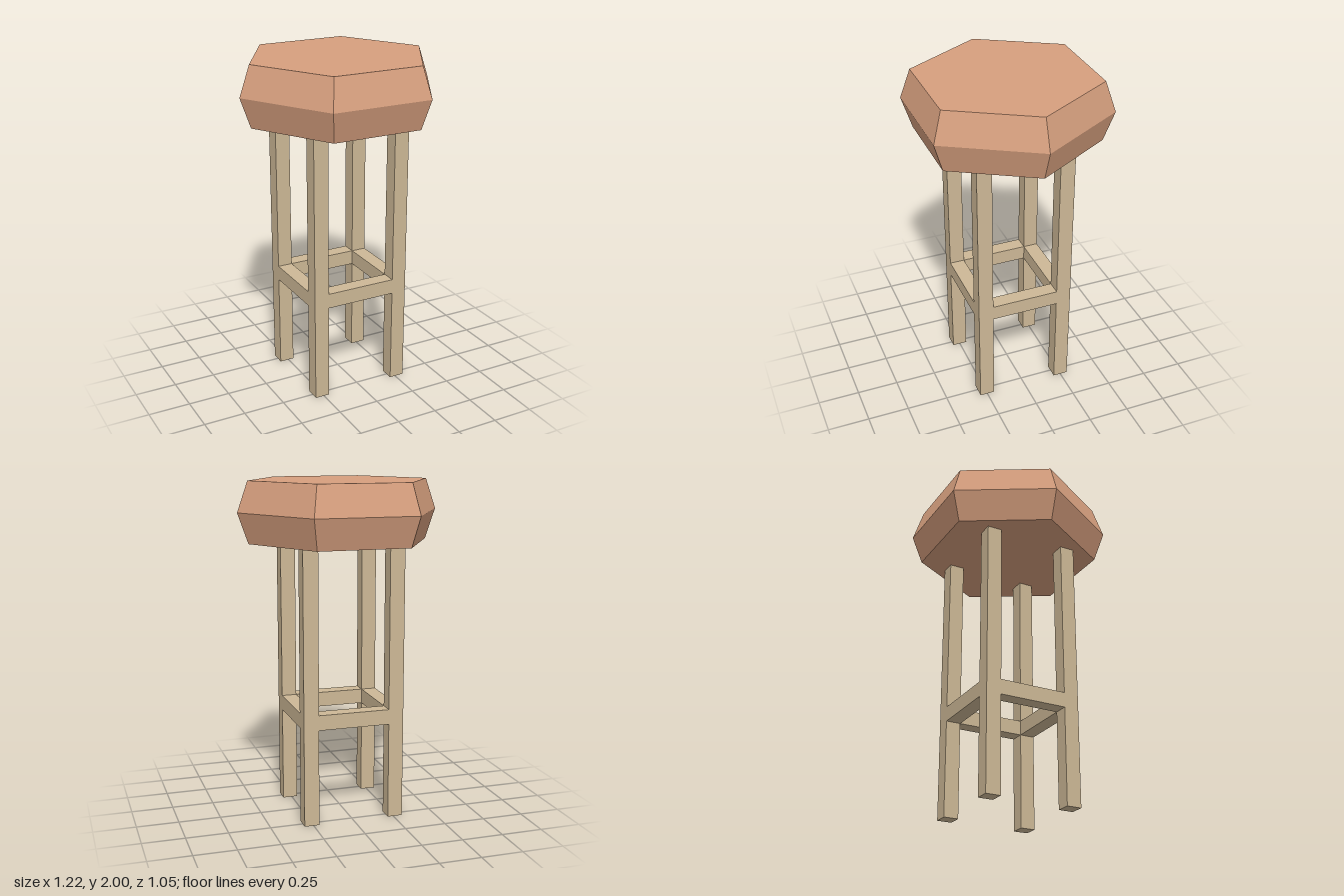
import * as THREE from 'three';

export function createModel() {
  const model = new THREE.Group();
  model.name = 'stool';

  const cushionMat = new THREE.MeshStandardMaterial({ color: 0xd69f7e, flatShading: true });
  const woodMat = new THREE.MeshStandardMaterial({ color: 0xcdb896, flatShading: true });

  const seatBottom = 1.64;
  const thick = 0.09;      // square section of legs and rails
  const legX = 0.26, legZ = 0.25;
  const railY = 0.625;

  const addBox = (name, w, h, d, x, y, z) => {
    const mesh = new THREE.Mesh(new THREE.BoxGeometry(w, h, d), woodMat);
    mesh.name = name;
    mesh.position.set(x, y, z);
    model.add(mesh);
  };

  // Hexagonal cushion, widest at mid height, corners on the x axis
  const profile = [[0, seatBottom], [0.545, seatBottom], [0.608, 1.82], [0.545, 2], [0, 2]]
    .map(([r, y]) => new THREE.Vector2(r, y));
  const seat = new THREE.Mesh(new THREE.LatheGeometry(profile, 6, Math.PI / 2), cushionMat);
  seat.name = 'seat';
  model.add(seat);

  // Four straight legs
  for (const [sx, side] of [[1, 'Left'], [-1, 'Right']]) {
    for (const [sz, end] of [[1, 'front'], [-1, 'back']]) {
      addBox(`${end}${side}Leg`, thick, seatBottom, thick, sx * legX, seatBottom / 2, sz * legZ);
    }
  }

  // Foot rails, flush with the legs and fitted between them
  for (const [sz, name] of [[1, 'frontRail'], [-1, 'backRail']]) {
    addBox(name, 2 * legX - thick, thick, thick, 0, railY, sz * legZ);
  }
  for (const [sx, name] of [[1, 'leftRail'], [-1, 'rightRail']]) {
    addBox(name, thick, thick, 2 * legZ - thick, sx * legX, railY, 0);
  }

  return model;
}
